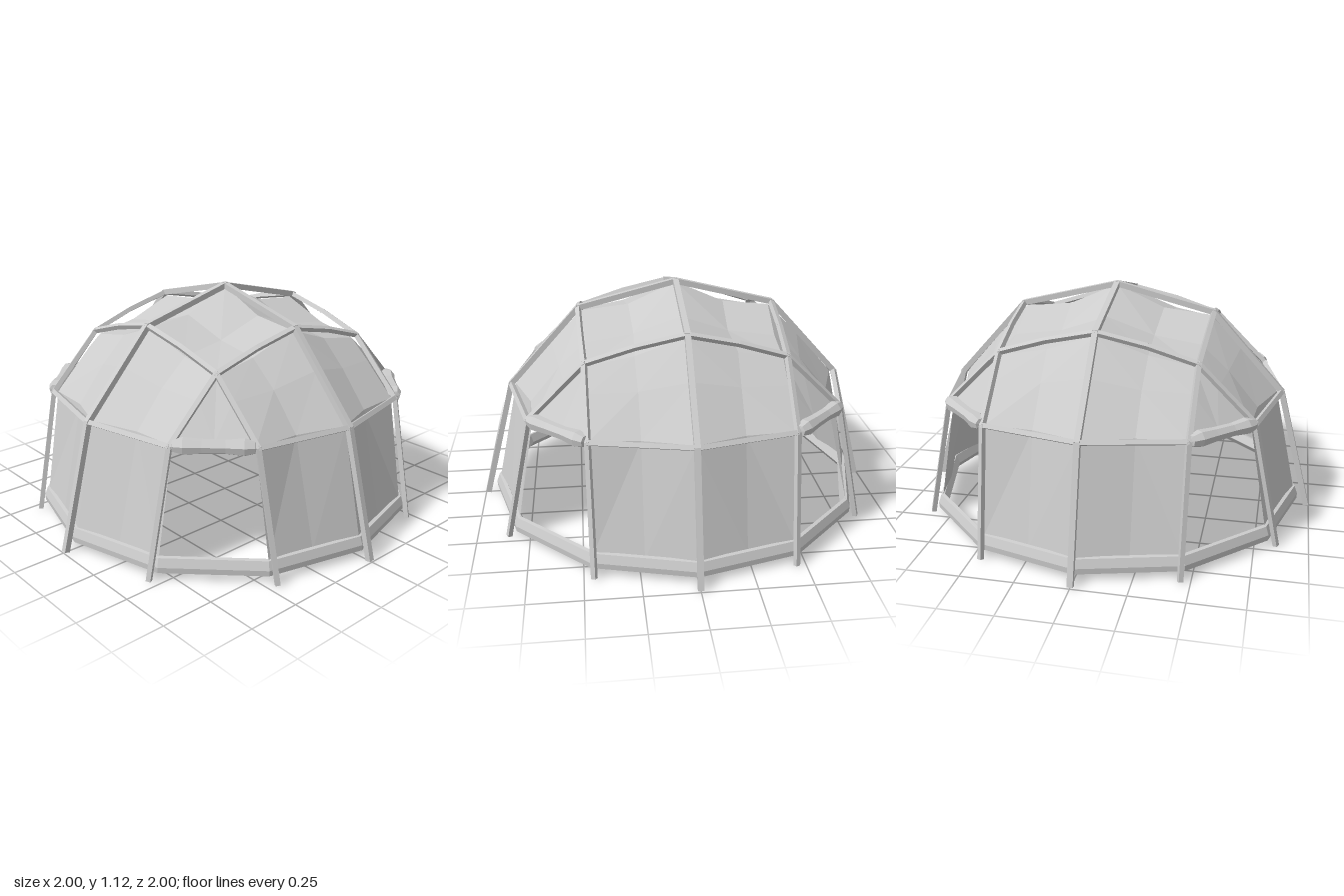
import * as THREE from 'three';

const V = (x, y, z) => new THREE.Vector3(x, y, z);
const solid = new THREE.MeshStandardMaterial({ color: 0xcccccc, flatShading: true });
const cloth = new THREE.MeshStandardMaterial({ color: 0xcccccc, flatShading: true, side: THREE.DoubleSide });

// Square rod between two points, with one face turned away from the dome centre
function rod(a, b, name, t) {
  const dir = b.clone().sub(a);
  const mesh = new THREE.Mesh(new THREE.BoxGeometry(t, t, dir.length() + t * 0.2), solid);
  mesh.position.copy(a).lerp(b, 0.5);
  const zAxis = dir.normalize();
  const xAxis = V().crossVectors(mesh.position.clone().sub(V(0, 0.1, 0)), zAxis).normalize();
  const yAxis = V().crossVectors(zAxis, xAxis);
  mesh.quaternion.setFromRotationMatrix(new THREE.Matrix4().makeBasis(xAxis, yAxis, zAxis));
  mesh.name = name;
  return mesh;
}

// Arched pole: half profile mirrored over the top
function arch(half, name, t) {
  const pts = [...half, ...half.slice(0, -1).reverse().map(p => V(-p.x, p.y, p.z))];
  const g = new THREE.Group();
  g.name = name;
  for (let i = 0; i < pts.length - 1; i++) g.add(rod(pts[i], pts[i + 1], 'poleSegment', t));
  return g;
}

// Fabric sagging between the poles: one eighth, repeated by swapping x/z and mirroring
function canopyGeometry() {
  const grid = [
    [V(0, 1.105, 0)],
    [V(0.235, 1.0, 0), V(0.225, 0.92, 0.225)],
    [V(0.465, 0.975, 0), V(0.45, 0.89, 0.235), V(0.447, 0.85, 0.447)],
    [V(0.62, 0.82, 0), V(0.58, 0.77, 0.23), V(0.55, 0.757, 0.45)],
    [V(0.805, 0.605, 0), V(0.722, 0.6, 0.23), V(0.705, 0.6, 0.455)],
    [V(0.918, 0.09, 0), V(0.845, 0.08, 0.23), V(0.795, 0.09, 0.456)],
  ];
  const tris = [];
  const quad = (a, b, c, d) => tris.push([a, b, c], [a, c, d]);
  // Half of the centre roof panel, across the diagonal
  tris.push([grid[0][0], grid[1][0], grid[1][1]]);
  quad(grid[1][0], grid[2][0], grid[2][1], grid[1][1]);
  tris.push([grid[1][1], grid[2][1], grid[2][2]]);
  // Sloping roof panels and upright wall panels
  for (let i = 2; i < 5; i++)
    for (let j = 0; j < 2; j++) quad(grid[i][j], grid[i + 1][j], grid[i + 1][j + 1], grid[i][j + 1]);
  // Half of the triangular panel over a doorway
  const mid = V(0.57, 0.61, 0.57);
  tris.push([grid[2][2], grid[3][2], mid], [grid[3][2], grid[4][2], mid]);

  const out = [];
  for (const swap of [false, true]) for (const sx of [1, -1]) for (const sz of [1, -1])
    for (const tri of tris) {
      const [a, b, c] = tri.map(p => swap ? V(p.z * sx, p.y, p.x * sz) : V(p.x * sx, p.y, p.z * sz));
      const n = b.clone().sub(a).cross(c.clone().sub(a));
      const outward = n.dot(a.clone().add(b).add(c).divideScalar(3)) > 0;
      for (const p of outward ? [a, b, c] : [a, c, b]) out.push(p.x, p.y, p.z);
    }
  const geo = new THREE.BufferGeometry();
  geo.setAttribute('position', new THREE.Float32BufferAttribute(out, 3));
  geo.computeVertexNormals();
  return geo;
}

const profile = rows => rows.map(p => new THREE.Vector2(...p));

export function createModel() {
  const model = new THREE.Group();
  model.name = 'domeTent';

  const canopy = new THREE.Mesh(canopyGeometry(), cloth);
  canopy.name = 'canopy';
  model.add(canopy);

  // Crossing poles: three in each direction
  const central = [V(0.986, 0.005, 0), V(0.828, 0.605, 0), V(0.48, 0.99, 0), V(0, 1.11, 0)];
  const outer = [V(0.85, 0.005, 0.455), V(0.725, 0.605, 0.46), V(0.462, 0.867, 0.462), V(0.235, 0.938, 0.473), V(0, 0.99, 0.48)];
  for (const turn of [0, 1]) {
    const set = new THREE.Group();
    set.name = turn ? 'lengthwisePoles' : 'crosswisePoles';
    set.add(arch(central, 'centralPole', 0.027));
    for (const s of [1, -1]) {
      set.add(arch(outer.map(p => V(p.x, p.y, p.z * s)), 'outerPole', 0.022));
      // Horizontal rail above the wall
      for (const e of [1, -1]) set.add(rod(V(0.828 * s, 0.605, 0), V(0.725 * s, 0.605, 0.46 * e), 'wallRail', 0.022));
    }
    set.rotation.y = turn * Math.PI / 2;
    model.add(set);
  }

  // Slim twelve-sided hem around the foot of the walls
  const hem = profile([[0.89, 0.06], [0.917, 0.025], [0.938, 0.033], [0.94, 0.06], [0.925, 0.1], [0.908, 0.103], [0.89, 0.06]]);
  const base = new THREE.Mesh(new THREE.LatheGeometry(hem, 12), solid);
  base.name = 'baseHem';
  model.add(base);

  // Rolled-up door above each corner opening
  const bundle = profile([[0, -0.18], [0.027, -0.175], [0.039, -0.13], [0.031, -0.05], [0.033, 0.05], [0.039, 0.13], [0.027, 0.175], [0, 0.18]]);
  const rollGeo = new THREE.LatheGeometry(bundle, 7);
  rollGeo.rotateX(Math.PI / 2);
  for (let i = 0; i < 4; i++) {
    const corner = new THREE.Group();
    corner.name = 'doorCorner';
    const roll = new THREE.Mesh(rollGeo, solid);
    roll.position.set(0.838, 0.608, 0);
    roll.name = 'rolledDoor';
    corner.add(roll);
    corner.rotation.y = Math.PI / 4 + i * Math.PI / 2;
    model.add(corner);
  }
  return model;
}
